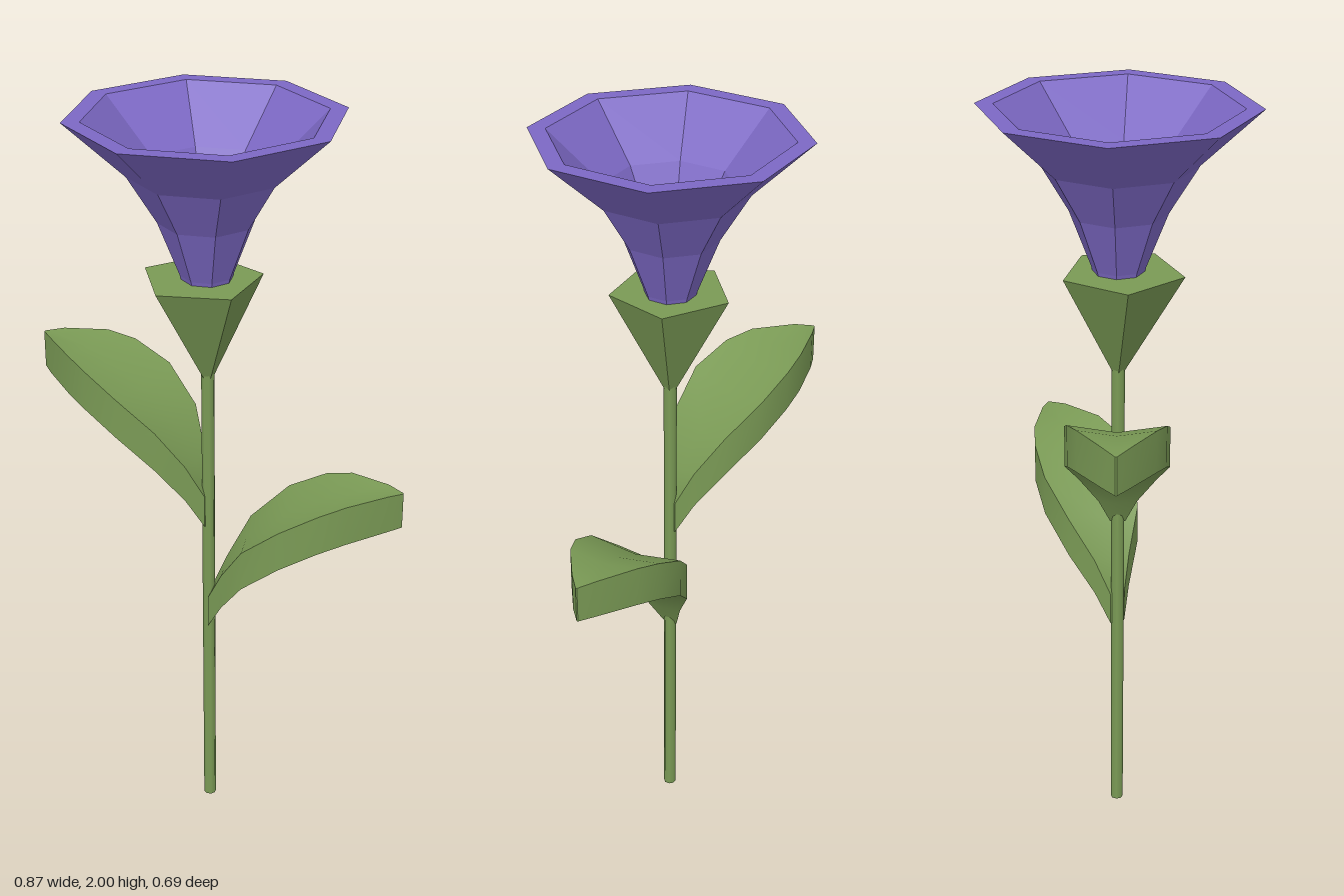
import * as THREE from 'three';
import { toCreasedNormals } from 'three/addons/utils/BufferGeometryUtils.js';

const green = new THREE.MeshStandardMaterial({ color: 0x7a9a55 });
const flatGreen = new THREE.MeshStandardMaterial({ color: 0x7a9a55, flatShading: true });
const purple = new THREE.MeshStandardMaterial({ color: 0x7c68c4, flatShading: true });
const yellow = new THREE.MeshStandardMaterial({ color: 0xddd68a, flatShading: true });

const AXIS = -0.055; // x of the stem

// Leaf stations: distance from stem, half width, underside height, thickness
const STATIONS = [
  [0.0, 0.02, 0.58, 0.09],
  [0.04, 0.05, 0.66, 0.1],
  [0.1, 0.1, 0.755, 0.11],
  [0.2, 0.13, 0.84, 0.11],
  [0.3, 0.12, 0.89, 0.11],
  [0.37, 0.095, 0.91, 0.11],
  [0.47, 0.034, 0.92, 0.105],
  [0.51, 0.002, 0.92, 0.1],
];

// A box bent along the stations, slightly cupped along its midrib
function leafGeometry() {
  const n = STATIONS.length - 1;
  const geometry = new THREE.BoxGeometry(1, 1, 1, n, 1, 2);
  const p = geometry.attributes.position;
  for (let i = 0; i < p.count; i++) {
    const [s, half, y, thick] = STATIONS[Math.round((p.getX(i) + 0.5) * n)];
    const side = p.getZ(i) * 2;
    const cup = 0.15 * half * (1 - Math.abs(side));
    p.setXYZ(i, s, y - cup + (p.getY(i) > 0 ? thick : 0), side * half);
  }
  return toCreasedNormals(geometry, 0.7);
}

export function createModel() {
  const model = new THREE.Group();
  const add = (name, geometry, material, x, y, z = 0) => {
    const mesh = new THREE.Mesh(geometry, material);
    mesh.name = name;
    mesh.position.set(x, y, z);
    model.add(mesh);
    return mesh;
  };

  add('stem', new THREE.CylinderGeometry(0.017, 0.017, 1.36, 8), green, AXIS, 0.68);

  // Five-sided cup under the bloom, its top set a little off the stem
  const calyx = new THREE.CylinderGeometry(0.157, 0.015, 0.27, 5);
  calyx.rotateY(Math.PI / 10 * 5);
  const p = calyx.attributes.position;
  for (let i = 0; i < p.count; i++) if (p.getY(i) > 0) p.setX(i, p.getX(i) - 0.015);
  add('calyx', calyx, flatGreen, AXIS, 1.455);

  // Trumpet: outer wall up, flat rim, inner wall down
  const profile = [
    [0.06, 1.57], [0.068, 1.6], [0.122, 1.74], [0.195, 1.86], [0.345, 2],
    [0.3, 2], [0.165, 1.87], [0.1, 1.76], [0.045, 1.6], [0, 1.6],
  ].map(([r, y]) => new THREE.Vector2(r, y));
  add('bloom', new THREE.LatheGeometry(profile, 8), purple, AXIS, 0);

  add('flowerCentre', new THREE.CylinderGeometry(0.086, 0.04, 0.2, 16), yellow, AXIS, 1.71, -0.005);

  // Two leaves on opposite sides, pointing towards (dx, dz)
  const leaf = leafGeometry();
  for (const [name, dx, dz, lift] of [
    ['lowerLeaf', 0.485, 0.16, 0],
    ['upperLeaf', -0.375, -0.33, 0.31],
  ]) {
    add(name, leaf, green, AXIS, lift).rotation.y = -Math.atan2(dz, dx);
  }
  return model;
}
